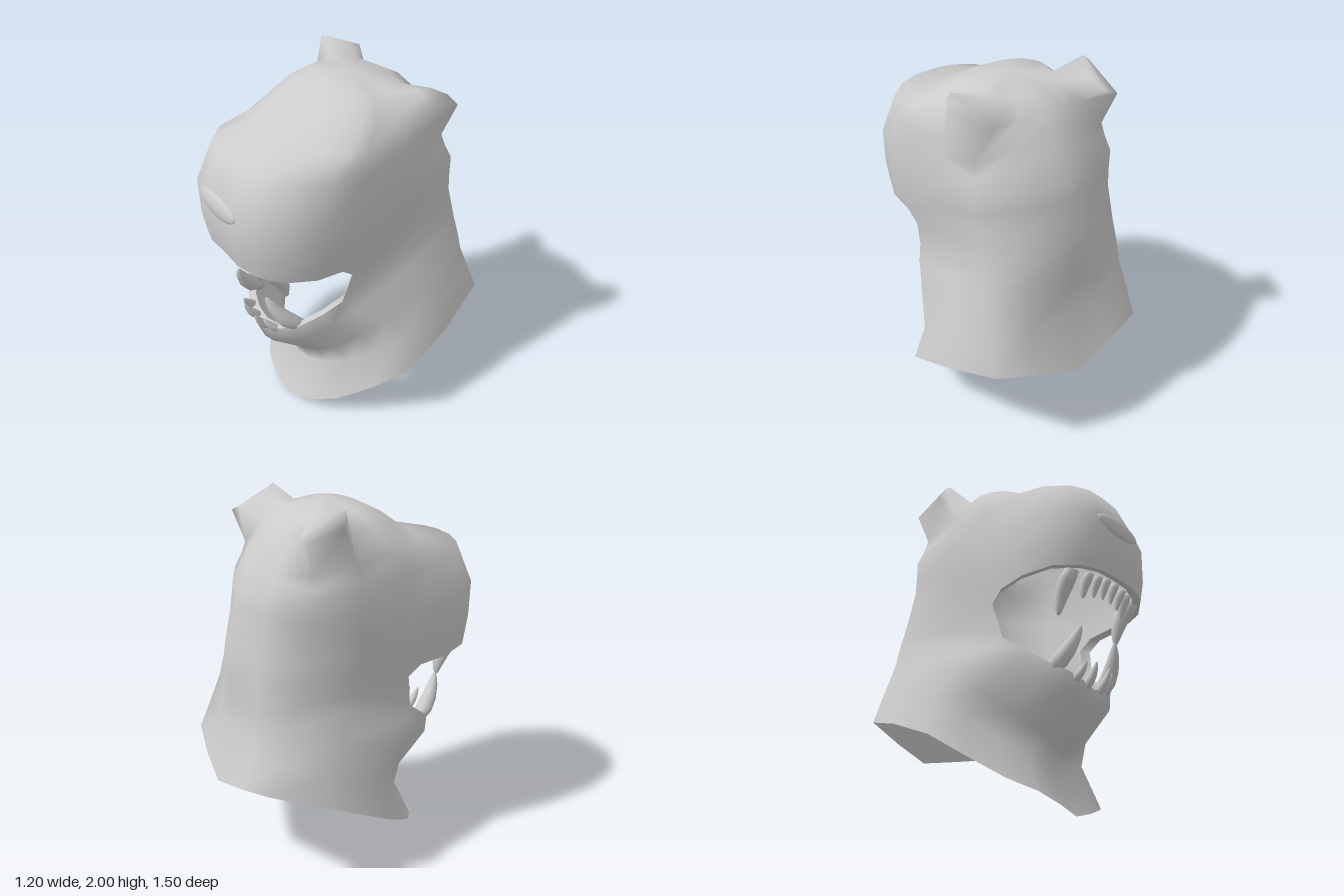
import * as THREE from 'three';

const mat = new THREE.MeshStandardMaterial({ color: 0xcccccc, side: THREE.DoubleSide });
const lerp = THREE.MathUtils.lerp;
const COLS = 18;  // columns around one ring, starting at the front centre
const CHEEK = 5;  // column of the mouth corner
const SIDE = 6;   // column in front of the ear

// Rings from the neck opening upward, each given by four stations of one half:
// front centre (y,z), cheek (x,y,z), back corner (x,y,z), back centre (y,z), squareness
const neckRings = [
  [0.00, 0.39, 0.60, 0.37, -0.04, 0.46, 0.62, -0.66, 0.51, -0.75, 0],
  [0.24, 0.28, 0.54, 0.58, -0.07, 0.45, 0.76, -0.60, 0.82, -0.64, 0],
  [0.34, 0.32, 0.49, 0.72, 0.03, 0.43, 0.93, -0.535, 1.00, -0.65, 0],
  [0.50, 0.51, 0.415, 0.83, 0.18, 0.425, 1.05, -0.505, 1.10, -0.655, 0.2],
  [0.62, 0.53, 0.37, 0.88, 0.24, 0.415, 1.16, -0.475, 1.20, -0.655, 0.25],
  [0.90, 0.60, 0.405, 1.07, 0.20, 0.41, 1.26, -0.45, 1.30, -0.64, 0.5],
];
const headRings = [
  [1.195, 0.71, 0.415, 1.13, 0.27, 0.405, 1.36, -0.425, 1.40, -0.62, 1],
  [1.30, 0.73, 0.435, 1.25, 0.21, 0.405, 1.46, -0.42, 1.48, -0.60, 1],
  [1.50, 0.735, 0.44, 1.44, 0.19, 0.41, 1.56, -0.415, 1.57, -0.58, 1],
  [1.73, 0.64, 0.425, 1.65, 0.17, 0.395, 1.635, -0.38, 1.70, -0.51, 0.7],
  [1.785, 0.36, 0.405, 1.76, 0.12, 0.385, 1.70, -0.36, 1.79, -0.45, 0.5],
  [1.90, 0.20, 0.34, 1.87, 0.02, 0.25, 1.85, -0.35, 1.88, -0.38, 0.5],
  [1.96, 0.08, 0.24, 1.945, -0.03, 0.18, 1.93, -0.25, 1.94, -0.28, 0.5],
];
const JAW = 4, CORNER = 5, LIP = 6, BROW = 10;

// Blunt ear tip, in the order of the skull vertices around the ear base
const earTip = [
  [0.44, 1.93, -0.22], [0.43, 1.87, -0.41], [0.36, 1.90, -0.40],
  [0.33, 1.95, -0.31], [0.39, 2.00, -0.18], [0.42, 1.975, -0.19],
];

// Spread the stations of a ring over the half columns, then mirror them
function ring([fy, fz, sx, sy, sz, bx, by, bz, ky, kz, square]) {
  const taper = [0, 0.2, 0.4, 0.6, 0.82, 1], box = [0, 0.32, 0.61, 0.88, 1.01, 1];
  const rise = [0, 0.1, 0.23, 0.38, 0.69, 1], depth = [1, 1, 0.92, 0.7, 0.35, 0];
  const half = taper.map((t, i) => new THREE.Vector3(
    sx * lerp(t, box[i], square), lerp(fy, sy, rise[i]), lerp(sz, fz, depth[i])));
  half.push(
    new THREE.Vector3(lerp(Math.min(sx, bx), Math.max(sx, bx), 0.75), lerp(sy, by, 0.55), (sz + bz) / 2),
    new THREE.Vector3(bx, by, bz),
    new THREE.Vector3(bx * 0.5, (by + ky) / 2, lerp(kz, bz, 0.38)),
    new THREE.Vector3(0, ky, kz));
  const other = half.slice(1, -1).reverse().map(p => new THREE.Vector3(-p.x, p.y, p.z));
  return [...half, ...other];
}

function surface(points, index) {
  const g = new THREE.BufferGeometry().setFromPoints(points);
  g.setIndex(index);
  g.computeVertexNormals();
  return g;
}

function addMesh(group, name, geometry) {
  const m = new THREE.Mesh(geometry, mat);
  m.name = name;
  group.add(m);
  return m;
}

// Hollow head: rings joined by quads, mouth left open, ears drawn out of the skull
function headShell(rings) {
  const points = rings.flat(), index = [];
  const at = (r, c) => r * COLS + (c % COLS);
  const quad = (a, b, c, d) => index.push(a, b, c, a, c, d);
  for (let r = 0; r < rings.length - 1; r++) {
    for (let c = 0; c < COLS; c++) {
      const mouth = (r === JAW || r === CORNER) && (c < CHEEK || c >= COLS - CHEEK);
      const earBase = r >= BROW && (c === SIDE || c === COLS - SIDE - 1);
      if (!mouth && !earBase) quad(at(r, c), at(r, c + 1), at(r + 1, c + 1), at(r + 1, c));
    }
  }
  for (const side of [1, -1]) {
    const base = [[0, 0], [0, 1], [1, 1], [2, 1], [2, 0], [1, 0]].map(([r, c]) =>
      at(BROW + r, side > 0 ? SIDE + c : COLS - SIDE - c));
    const tip = earTip.map(([x, y, z]) => points.push(new THREE.Vector3(x * side, y, z)) - 1);
    const face = (a, b, c, d) => (side > 0 ? quad(a, b, c, d) : quad(d, c, b, a));
    for (let i = 0; i < 6; i++) {
      const j = (i + 1) % 6;
      face(base[i], base[j], tip[j], tip[i]);
    }
    face(tip[0], tip[1], tip[2], tip[5]);
    face(tip[5], tip[2], tip[3], tip[4]);
  }
  const crown = points.push(new THREE.Vector3(0, 1.985, -0.08)) - 1;
  for (let c = 0; c < COLS; c++) index.push(at(rings.length - 1, c), at(rings.length - 1, c + 1), crown);
  return surface(points, index);
}

// Thickness of the lips, folded inward around the mouth
function lipRim(rings) {
  const edge = [], index = [];
  const pick = (r, c) => edge.push(rings[r][(c + COLS) % COLS]);
  for (let c = -CHEEK; c <= CHEEK; c++) pick(LIP, c);
  pick(CORNER, CHEEK);
  for (let c = CHEEK; c >= -CHEEK; c--) pick(JAW, c);
  pick(CORNER, -CHEEK);
  const n = edge.length;
  const inner = edge.map(p => new THREE.Vector3(p.x * 0.91, p.y + 0.01, p.z - 0.04));
  for (let i = 0; i < n; i++) {
    const j = (i + 1) % n;
    index.push(i, i + n, j + n, i, j + n, j);
  }
  return surface([...edge, ...inner], index);
}

// Curved fang: a lathed spike laid from root to tip, bowed along z
function tooth(root, tip, radius, bow) {
  const profile = [[0, 0], [0.8, 0], [1, 0.25], [0.88, 0.5], [0.6, 0.78], [0.3, 0.95], [0, 1]];
  const a = new THREE.Vector3(...root), dir = new THREE.Vector3(...tip).sub(a);
  const len = dir.length();
  const g = new THREE.LatheGeometry(profile.map(([r, t]) => new THREE.Vector2(r * radius, t * len)), 10);
  const p = g.attributes.position;
  for (let i = 0; i < p.count; i++) {
    const t = p.getY(i) / len;
    p.setZ(i, p.getZ(i) + bow * 4 * t * (1 - t));
  }
  g.applyQuaternion(new THREE.Quaternion().setFromUnitVectors(new THREE.Vector3(0, 1, 0), dir.normalize()));
  g.translate(a.x, a.y, a.z);
  g.computeVertexNormals();
  return g;
}

export function createModel() {
  const model = new THREE.Group();
  model.name = 'animalHead';
  const rings = [...neckRings, ...headRings].map(ring);
  addMesh(model, 'headShell', headShell(rings));
  addMesh(model, 'lipRim', lipRim(rings));

  // Low nose pad: front half of a flattened ball
  const noseGeo = new THREE.SphereGeometry(1, 16, 12, 0, Math.PI);
  noseGeo.scale(0.17, 0.06, 0.025);
  const nose = addMesh(model, 'nose', noseGeo);
  nose.position.set(0, 1.49, 0.725);
  nose.rotation.x = -0.12;

  // Root, tip, radius and bow of the teeth on one side
  const teeth = {
    upperCanine: [[0.25, 1.18, 0.61], [0.24, 0.96, 0.50], 0.046, 0.025],
    upperOuterIncisor: [[0.16, 1.18, 0.65], [0.16, 1.055, 0.60], 0.029, 0.012],
    upperMiddleIncisor: [[0.10, 1.18, 0.665], [0.097, 1.075, 0.62], 0.025, 0.01],
    upperInnerIncisor: [[0.035, 1.19, 0.67], [0.033, 1.085, 0.63], 0.025, 0.01],
    lowerCanine: [[0.21, 0.69, 0.41], [0.14, 0.92, 0.57], 0.046, 0.025],
    lowerOuterIncisor: [[0.125, 0.64, 0.49], [0.105, 0.735, 0.57], 0.024, 0.01],
    lowerInnerIncisor: [[0.05, 0.62, 0.51], [0.055, 0.74, 0.595], 0.024, 0.01],
  };
  for (const side of [1, -1]) {
    const prefix = side > 0 ? 'left' : 'right';
    for (const [name, [root, tip, radius, bow]] of Object.entries(teeth)) {
      const flip = ([x, y, z]) => [x * side, y, z];
      addMesh(model, `${prefix} ${name}`, tooth(flip(root), flip(tip), radius, bow));
    }
  }
  return model;
}
